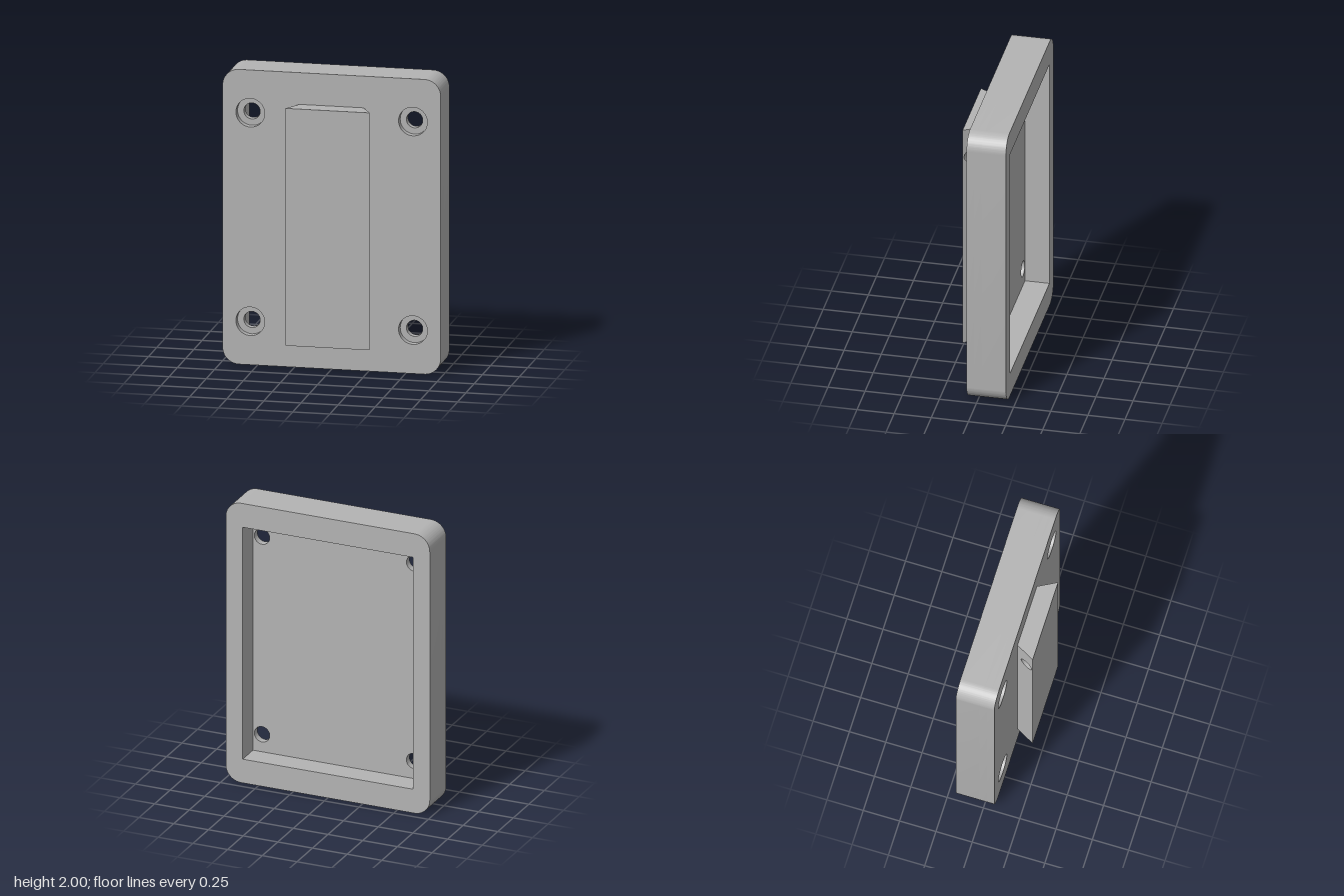
import * as THREE from 'three';
import { toCreasedNormals } from 'three/addons/utils/BufferGeometryUtils.js';

const W = 0.735, H = 2, R = 0.11;              // plate half width, height, corner radius
const BACK = -0.195, FLOOR = -0.03, STEP = 0.02, FACE = 0.07, FRONT = 0.195;
const SCREWS = [-0.548, 0.548].flatMap(x => [0.295, 1.71].map(y => [x, y]));

function plateOutline() {
  const s = new THREE.Shape();
  s.moveTo(-W + R, 0);
  s.absarc(W - R, R, R, -Math.PI / 2, 0);
  s.absarc(W - R, H - R, R, 0, Math.PI / 2);
  s.absarc(-W + R, H - R, R, Math.PI / 2, Math.PI);
  s.absarc(-W + R, R, R, Math.PI, Math.PI * 1.5);
  return s;
}

function rect(path, x0, x1, y0, y1) {
  path.moveTo(x0, y0).lineTo(x1, y0).lineTo(x1, y1).lineTo(x0, y1).closePath();
  return path;
}

const circle = (x, y, r) => new THREE.Path().absarc(x, y, r, 0, Math.PI * 2);

function layer(shape, z0, z1) {
  const g = new THREE.ExtrudeGeometry(shape, { depth: z1 - z0, bevelEnabled: false, curveSegments: 20 });
  g.translate(0, 0, z0);
  return toCreasedNormals(g, 0.5);
}

export function createModel() {
  const group = new THREE.Group();
  const grey = new THREE.MeshStandardMaterial({ color: 0xb4b4b4 });
  grey.name = 'grey';
  const add = (name, geometry) => {
    const mesh = new THREE.Mesh(geometry, grey);
    mesh.name = name;
    group.add(mesh);
  };

  // Rim around the recess in the back
  const rim = plateOutline();
  rim.holes.push(rect(new THREE.Path(), -0.613, 0.613, 0.17, 1.83));
  add('backRim', layer(rim, BACK, FLOOR));

  // Front wall: narrow screw holes behind, wide counterbores in front
  for (const [name, r, z0, z1] of [['screwHoleWall', 0.055, FLOOR, STEP], ['counterboreWall', 0.097, STEP, FACE]]) {
    const wall = plateOutline();
    SCREWS.forEach(([x, y]) => wall.holes.push(circle(x, y, r)));
    add(name, layer(wall, z0, z1));
  }

  // Dovetail rail: side profile with a cross hole, extruded along x and flared toward the front
  const side = rect(new THREE.Shape(), -FRONT, -FACE, 0.175, 1.785);
  side.holes.push(circle(-0.143, 1.58, 0.043));
  const rail = new THREE.ExtrudeGeometry(side, { depth: 2, bevelEnabled: false, curveSegments: 20 });
  rail.translate(0, 0, -1).rotateY(Math.PI / 2);
  const p = rail.attributes.position;
  for (let i = 0; i < p.count; i++) {
    const t = (p.getZ(i) - FACE) / (FRONT - FACE);
    p.setX(i, p.getX(i) * (0.216 + 0.068 * t));
  }
  add('dovetailRail', toCreasedNormals(rail, 0.5));

  return group;
}
